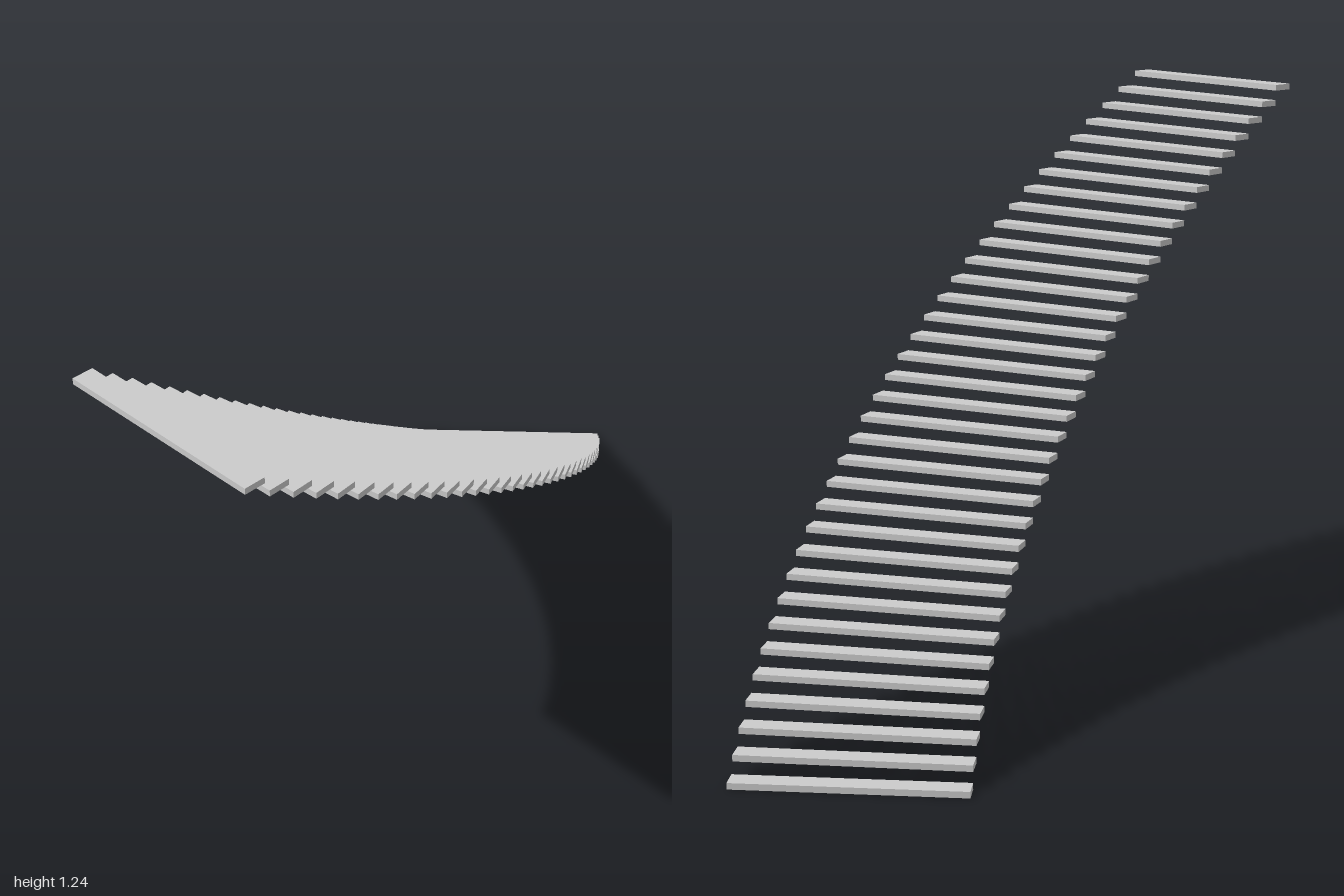
import * as THREE from 'three';

export function createModel() {
  const group = new THREE.Group();
  group.name = 'curvedStairTreads';
  const material = new THREE.MeshStandardMaterial({ color: 0xcccccc, flatShading: true });

  const count = 35;
  const radius = 2.435;               // arc radius through the tread centres
  const centreX = -2.351, centreZ = 0.025;
  const length = 0.482, thickness = 0.0135, depth = 0.048;
  const rise = 0.0361;
  const sweep = THREE.MathUtils.degToRad(44);
  const geometry = new THREE.BoxGeometry(length, thickness, depth);

  // Radial treads climbing from back to front along the arc
  for (let i = 0; i < count; i++) {
    const angle = -sweep / 2 + (sweep * i) / count;
    const tread = new THREE.Mesh(geometry, material);
    tread.name = `tread${i + 1}`;
    tread.position.set(
      centreX + radius * Math.cos(angle),
      thickness / 2 + i * rise,
      centreZ + radius * Math.sin(angle)
    );
    tread.rotation.y = -angle;
    group.add(tread);
  }
  return group;
}
